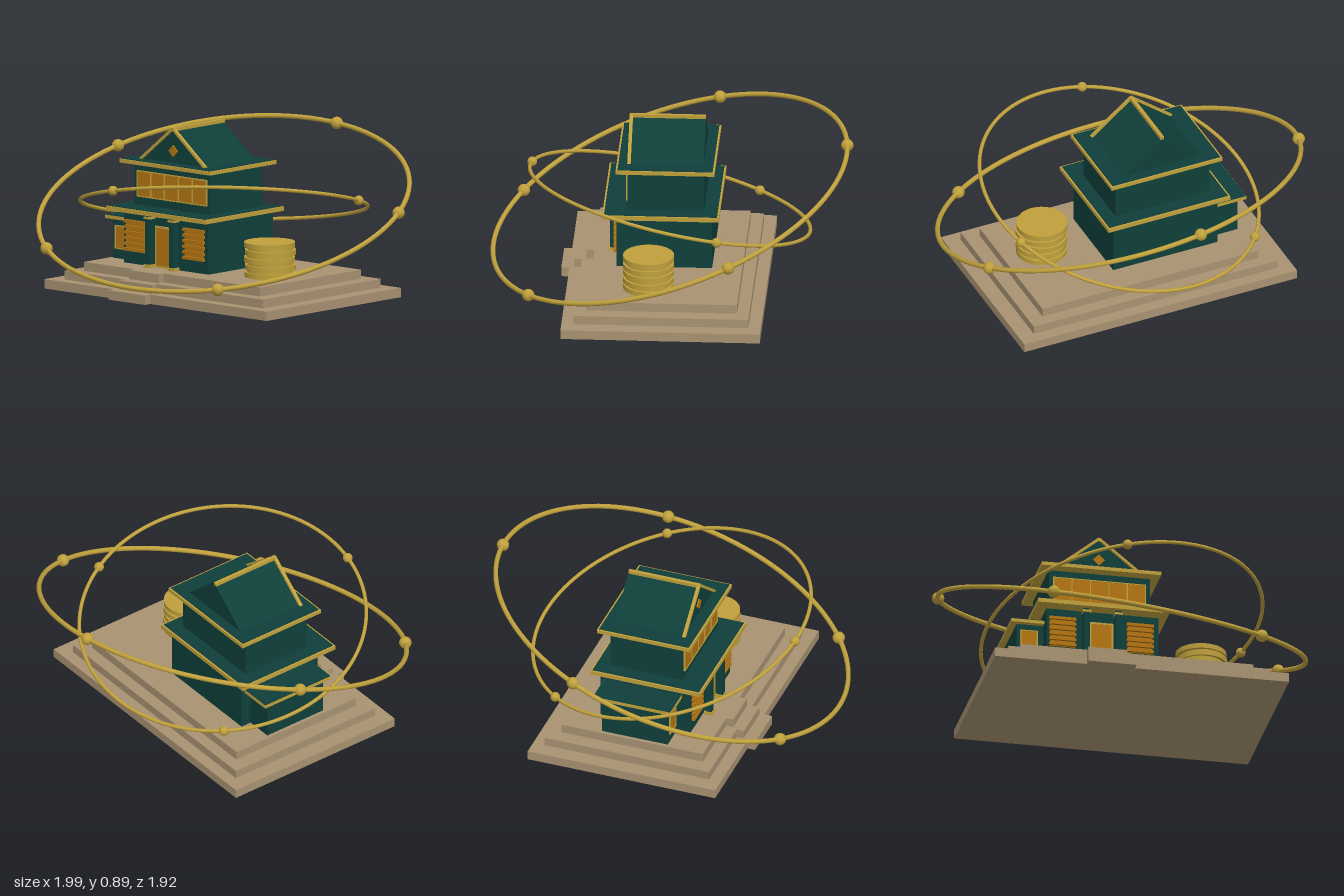
import * as THREE from 'three';

export function createModel() {
  const model = new THREE.Group();
  model.name = 'houseWithRings';
  const mat = (name, color) => {
    const m = new THREE.MeshStandardMaterial({ color });
    m.name = name;
    return m;
  };
  const stone = mat('sandStone', 0xa89272);
  const green = mat('deepGreen', 0x0f3f3a);
  const gold = mat('gold', 0xbfa03c);
  const amber = mat('amberGlass', 0xb47412);

  const add = (name, geo, material, x = 0, y = 0, z = 0, parent = model) => {
    const m = new THREE.Mesh(geo, material);
    m.name = name;
    m.position.set(x, y, z);
    parent.add(m);
    return m;
  };
  // box given by its limits on each axis
  const box = (name, material, x0, x1, y0, y1, z0, z1, parent = model) =>
    add(name, new THREE.BoxGeometry(x1 - x0, y1 - y0, z1 - z0), material,
      (x0 + x1) / 2, (y0 + y1) / 2, (z0 + z1) / 2, parent);

  // stepped plinth with a projecting front stair
  [
    [0, 0.05, -0.795, 0.79, -0.52, 0.535, -0.3, -0.04, 0.578],
    [0.05, 0.097, -0.71, 0.705, -0.455, 0.47, -0.287, -0.05, 0.51],
    [0.097, 0.145, -0.63, 0.625, -0.39, 0.405, -0.272, -0.063, 0.445],
  ].forEach(([y0, y1, x0, x1, z0, z1, sx0, sx1, sz]) => {
    box('plinthStep', stone, x0, x1, y0, y1, z0, z1);
    box('frontStair', stone, sx0, sx1, y0, y1, z1, sz);
  });

  // walls
  box('lowerFloor', green, -0.465, 0.14, 0.145, 0.43, -0.23, 0.275);
  box('upperFloor', green, -0.44, 0.105, 0.45, 0.68, -0.185, 0.22);
  box('sideWing', green, -0.61, -0.46, 0.145, 0.357, -0.17, 0.2);

  // flat roofs: gold eave slab with a green covering
  const roof = (name, x0, x1, y0, y1, z0, z1, inset) => {
    box(name + 'Eave', gold, x0, x1, y0, y1, z0, z1);
    box(name + 'Covering', green, x0 + inset, x1 - inset, y1, y1 + 0.004, z0 + inset, z1 - inset);
  };
  roof('lowerRoof', -0.523, 0.185, 0.427, 0.45, -0.268, 0.35, 0.01);
  roof('upperRoof', -0.49, 0.155, 0.677, 0.697, -0.243, 0.28, 0.01);
  roof('wingRoof', -0.643, -0.465, 0.357, 0.375, -0.21, 0.228, 0.003);

  // gable with ridge, rakes and diamond window
  const cx = -0.168, half = 0.225, base = 0.698, apex = 0.88;
  const tri = new THREE.Shape([
    new THREE.Vector2(-half, base), new THREE.Vector2(half, base), new THREE.Vector2(0, apex),
  ]);
  add('gable', new THREE.ExtrudeGeometry(tri, { depth: 0.39, bevelEnabled: false }), green, cx, 0, -0.18);
  box('ridge', gold, cx - 0.01, cx + 0.01, apex - 0.008, apex + 0.01, -0.18, 0.222);
  const slope = Math.atan2(apex - base, half);
  for (const s of [-1, 1]) {
    const rake = add('gableRake', new THREE.BoxGeometry(Math.hypot(half, apex - base) + 0.01, 0.014, 0.018), gold,
      cx + s * (half / 2 + 0.003), (base + apex) / 2 + 0.003, 0.214);
    rake.rotation.z = -s * slope;
  }
  const diamond = add('diamondWindow', new THREE.BoxGeometry(0.045, 0.045, 0.008), amber, cx, 0.765, 0.213);
  diamond.rotation.z = Math.PI / 4;

  // rectangular gold frame around an opening
  const frame = (name, x0, x1, y0, y1, z, t) => {
    const g = new THREE.Group();
    g.name = name;
    model.add(g);
    box('rail', gold, x0, x1, y0, y0 + t, z, z + 0.009, g);
    box('rail', gold, x0, x1, y1 - t, y1, z, z + 0.009, g);
    box('stile', gold, x0, x0 + t, y0, y1, z, z + 0.009, g);
    box('stile', gold, x1 - t, x1, y0, y1, z, z + 0.009, g);
  };

  // upper window band, five panes
  box('upperWindow', amber, -0.415, 0.08, 0.5, 0.635, 0.22, 0.226);
  frame('upperWindowFrame', -0.418, 0.083, 0.497, 0.638, 0.22, 0.006);
  for (let i = 1; i < 5; i++) {
    const x = -0.415 + i * 0.099;
    box('mullion', gold, x - 0.003, x + 0.003, 0.5, 0.635, 0.22, 0.231);
  }

  // slatted windows on the lower floor
  for (const x0 of [-0.45, -0.032]) {
    const x1 = x0 + 0.145;
    box('lowerWindow', amber, x0 + 0.006, x1 - 0.006, 0.21, 0.378, 0.275, 0.28);
    for (let i = 0; i < 6; i++) {
      const y = 0.213 + i * 0.03;
      box('windowSlat', amber, x0, x1, y, y + 0.016, 0.275, 0.293);
    }
  }

  // wing window
  box('wingWindow', amber, -0.588, -0.5, 0.2, 0.32, 0.2, 0.206);
  frame('wingWindowFrame', -0.591, -0.497, 0.197, 0.323, 0.2, 0.006);

  // door and porch pillars
  box('door', amber, -0.23, -0.108, 0.145, 0.36, 0.275, 0.282);
  frame('doorFrame', -0.235, -0.103, 0.145, 0.367, 0.275, 0.011);
  for (const x of [-0.255, -0.083]) {
    box('pillar', green, x - 0.017, x + 0.017, 0.145, 0.427, 0.288, 0.322);
    box('pillarBase', gold, x - 0.023, x + 0.023, 0.145, 0.162, 0.282, 0.328);
    box('pillarCapital', gold, x - 0.022, x + 0.022, 0.405, 0.417, 0.283, 0.327);
  }

  // stack of coins
  const coinGeo = new THREE.CylinderGeometry(0.135, 0.135, 0.027, 48);
  const gapGeo = new THREE.CylinderGeometry(0.122, 0.122, 0.012, 48);
  for (let i = 0; i < 5; i++) {
    const x = 0.41 + [0, 0.004, -0.003, 0.003, -0.002][i];
    const y = 0.145 + i * 0.0395;
    add('coin', coinGeo, gold, x, y + 0.0135, 0.09);
    if (i < 4) add('coinGap', gapGeo, gold, x, y + 0.033, 0.09);
  }

  // tilted rings lying in the plane y = height + sx * x + sz * z, with beads at given x, z
  const ring = (name, r, tube, height, sx, sz, beadR, beads) => {
    const hoop = add(name, new THREE.TorusGeometry(r, tube, 12, 120), gold, 0, height, 0);
    hoop.quaternion.setFromUnitVectors(new THREE.Vector3(0, 0, 1), new THREE.Vector3(-sx, 1, -sz).normalize());
    for (const [x, z] of beads) {
      const p = new THREE.Vector3(x, sx * x + sz * z, z).setLength(r);
      add(name + 'Bead', new THREE.SphereGeometry(beadR, 24, 16), gold, p.x, p.y + height, p.z);
    }
  };
  ring('outerRing', 0.987, 0.013, 0.477, -0.12, -0.33, 0.033,
    [[-0.045, -0.935], [0.92, -0.36], [0.61, 0.72], [-0.545, 0.82], [-0.95, -0.21]]);
  ring('innerRing', 0.76, 0.01, 0.48, 0.17, 0.22, 0.026,
    [[-0.585, -0.44], [0.7, -0.285], [-0.125, 0.75]]);

  return model;
}
